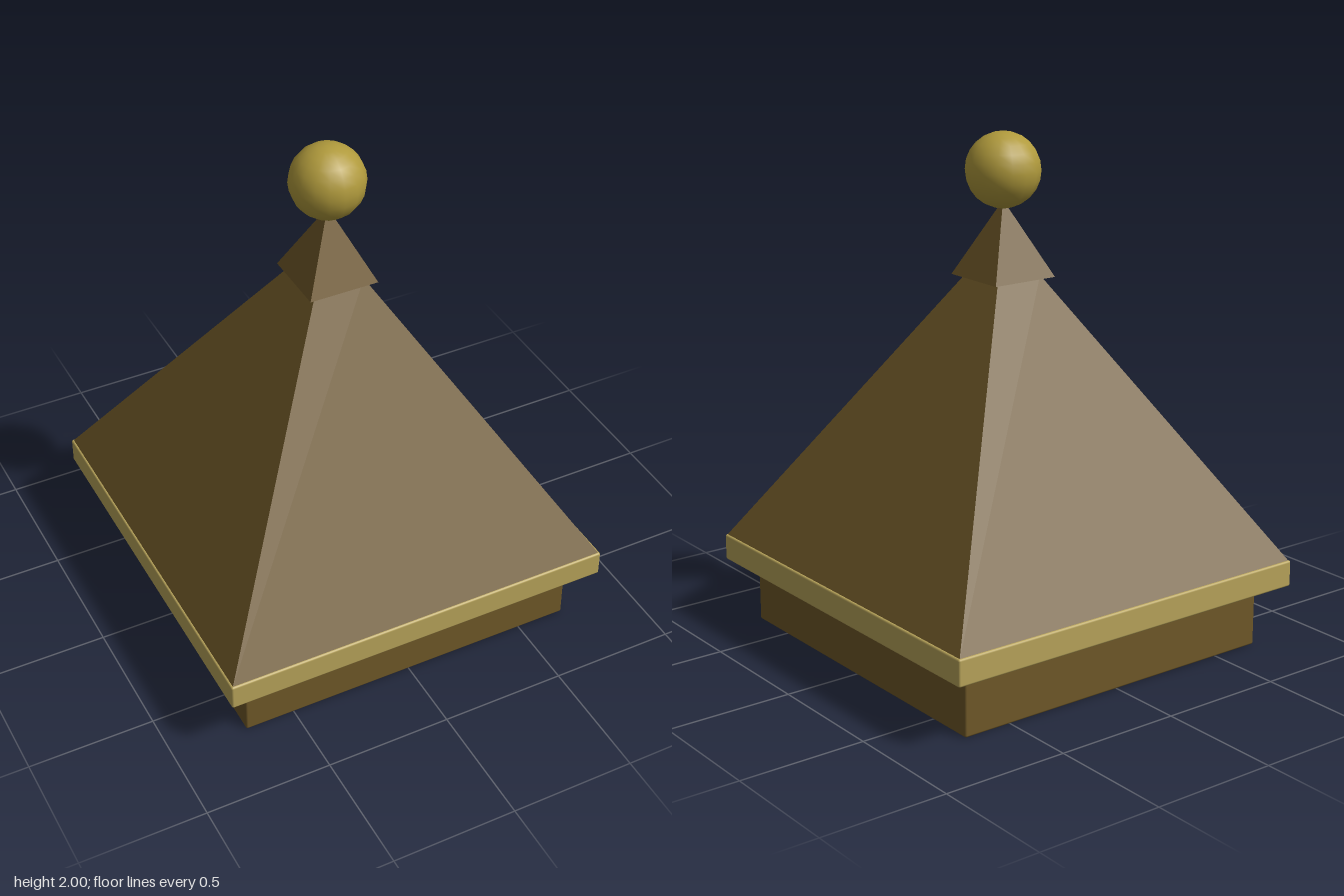
import * as THREE from 'three';
import { RoundedBoxGeometry } from 'three/addons/geometries/RoundedBoxGeometry.js';

const bronze = new THREE.MeshStandardMaterial({ color: 0x6f5828 });
const bronzeFlat = new THREE.MeshStandardMaterial({ color: 0x6f5828, flatShading: true });
const paleGold = new THREE.MeshStandardMaterial({ color: 0xb8a45a });
const gold = new THREE.MeshStandardMaterial({ color: 0xb09a3c });

export function createModel() {
  const model = new THREE.Group();
  model.name = 'postCap';

  const add = (name, geometry, material, y) => {
    const mesh = new THREE.Mesh(geometry, material);
    mesh.name = name;
    mesh.position.y = y;
    model.add(mesh);
  };

  // Square slab with slightly softened edges, between two heights
  const slab = (name, half, y0, y1, material) =>
    add(name, new RoundedBoxGeometry(half * 2, y1 - y0, half * 2, 2, 0.008), material, (y0 + y1) / 2);

  // Square pyramid or frustum given by its half widths
  const pyramid = (name, bottom, top, y0, y1) => {
    const geometry = new THREE.CylinderGeometry(top * Math.SQRT2, bottom * Math.SQRT2, y1 - y0, 4);
    geometry.rotateY(Math.PI / 4);
    add(name, geometry, bronzeFlat, (y0 + y1) / 2);
  };

  // Collar and overhanging trim band
  slab('collar', 0.7, 0, 0.26, bronze);
  slab('trimBand', 0.795, 0.25, 0.355, paleGold);

  // Main roof and the small cap above it
  pyramid('roof', 0.79, 0.1, 0.35, 1.455);
  pyramid('peakCap', 0.14, 0, 1.45, 1.74);

  // Ball finial
  add('ballFinial', new THREE.SphereGeometry(0.145, 16, 12), gold, 1.855);

  return model;
}
